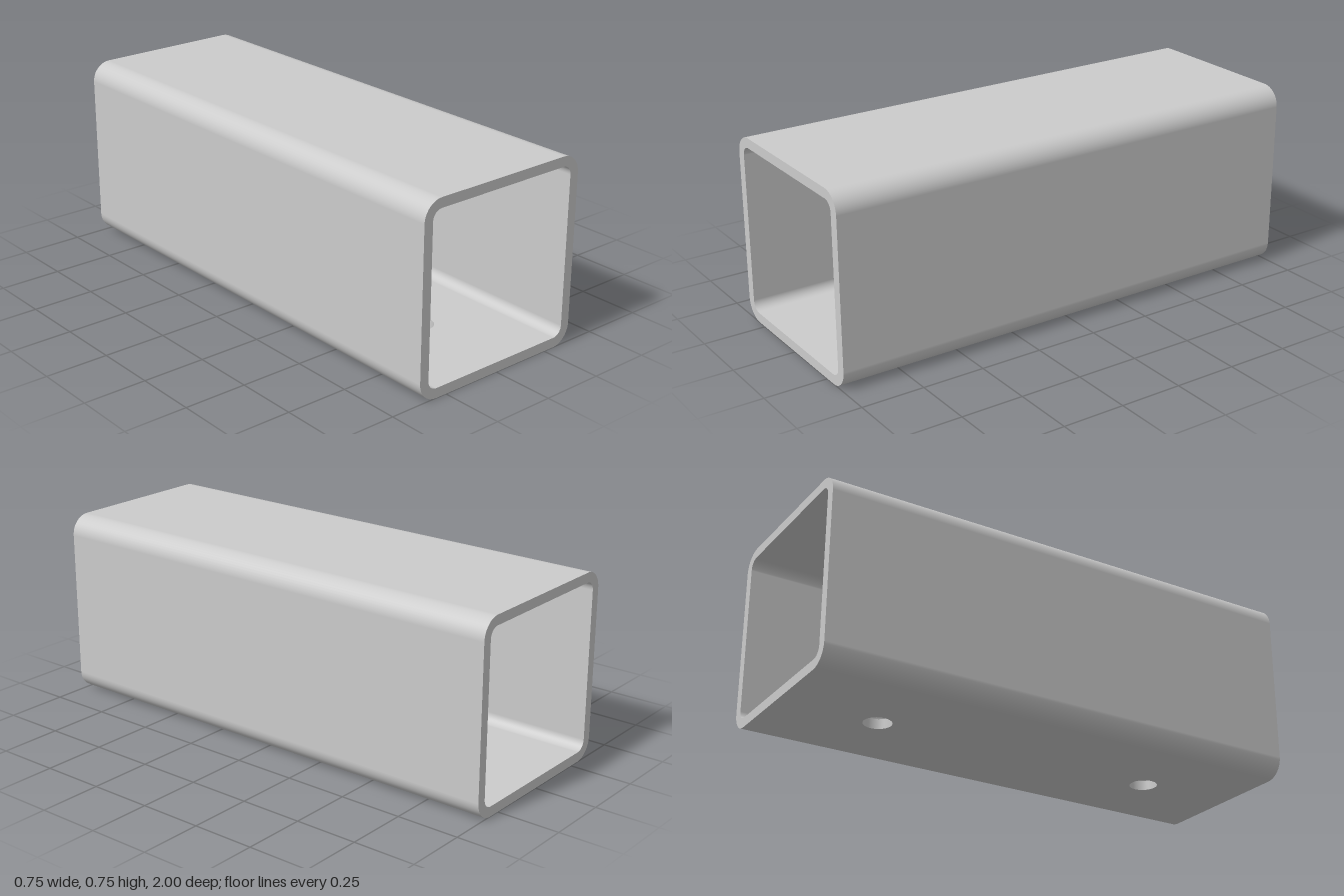
import * as THREE from 'three';

const HALF = 0.375, LENGTH = 2, WALL = 0.039, R_OUT = 0.078, R_IN = R_OUT - WALL;
const C = HALF - R_OUT;              // corner centres lie at ±C
const HOLE_R = 0.055, HOLE_Z = [0.6, -0.6];
const STEPS = 12;

// Rounded square, anticlockwise from the right end of the floor to its left end
function profile(r) {
  const corners = [[C, -C], [C, C], [-C, C], [-C, -C]];
  const out = [];
  corners.forEach(([cx, cy], k) => {
    for (let i = 0; i <= STEPS; i++) {
      const a = (k - 1 + i / STEPS) * Math.PI / 2;
      const n = new THREE.Vector2(Math.cos(a), Math.sin(a));
      out.push({ p: new THREE.Vector2(cx + r * n.x, HALF + cy + r * n.y), n });
    }
  });
  return out;
}

// Sweeps the profile along z; the flat floor is left open
function wallGeometry(r, inward) {
  const pos = [], nor = [], idx = [], s = inward ? -1 : 1;
  profile(r).forEach(({ p, n }, i) => {
    for (const z of [LENGTH / 2, -LENGTH / 2]) {
      pos.push(p.x, p.y, z);
      nor.push(s * n.x, s * n.y, 0);
    }
    if (i === 0) return;
    const a = 2 * i - 2, b = a + 1, c = a + 2, d = a + 3;
    if (inward) idx.push(a, c, b, c, d, b);
    else idx.push(a, b, c, c, b, d);
  });
  const g = new THREE.BufferGeometry();
  g.setAttribute('position', new THREE.Float32BufferAttribute(pos, 3));
  g.setAttribute('normal', new THREE.Float32BufferAttribute(nor, 3));
  g.setIndex(idx);
  return g;
}

// Flat floor strip with the bolt holes cut out
function floorGeometry() {
  const h = LENGTH / 2;
  const shape = new THREE.Shape([[-C, -h], [C, -h], [C, h], [-C, h]].map(([x, y]) => new THREE.Vector2(x, y)));
  for (const z of HOLE_Z) shape.holes.push(new THREE.Path().absarc(0, z, HOLE_R, 0, Math.PI * 2, true));
  return new THREE.ShapeGeometry(shape, 24);
}

export function createModel() {
  const group = new THREE.Group();
  group.name = 'squareTube';
  const material = new THREE.MeshStandardMaterial({ color: 0xcccccc });
  const thin = new THREE.MeshStandardMaterial({ color: 0xcccccc, side: THREE.DoubleSide });
  const add = (name, geometry, mat = material) => {
    const mesh = new THREE.Mesh(geometry, mat);
    mesh.name = name;
    group.add(mesh);
    return mesh;
  };

  // Outer and inner walls
  add('outerWall', wallGeometry(R_OUT, false));
  add('innerWall', wallGeometry(R_IN, true));

  // Floor, underside and inside
  add('floorUnderside', floorGeometry().rotateX(Math.PI / 2));
  add('floorInside', floorGeometry().rotateX(-Math.PI / 2).translate(0, WALL, 0));

  // Rims of the two open ends
  const rim = new THREE.Shape(profile(R_OUT).map(q => q.p));
  rim.holes.push(new THREE.Path(profile(R_IN).map(q => q.p)));
  add('frontRim', new THREE.ShapeGeometry(rim).translate(0, 0, LENGTH / 2));
  add('backRim', new THREE.ShapeGeometry(rim).rotateY(Math.PI).translate(0, 0, -LENGTH / 2));

  // Bores of the bolt holes
  for (const z of HOLE_Z) {
    const bore = new THREE.CylinderGeometry(HOLE_R, HOLE_R, WALL, 48, 1, true);
    add('boltHole', bore, thin).position.set(0, WALL / 2, z);
  }
  return group;
}
